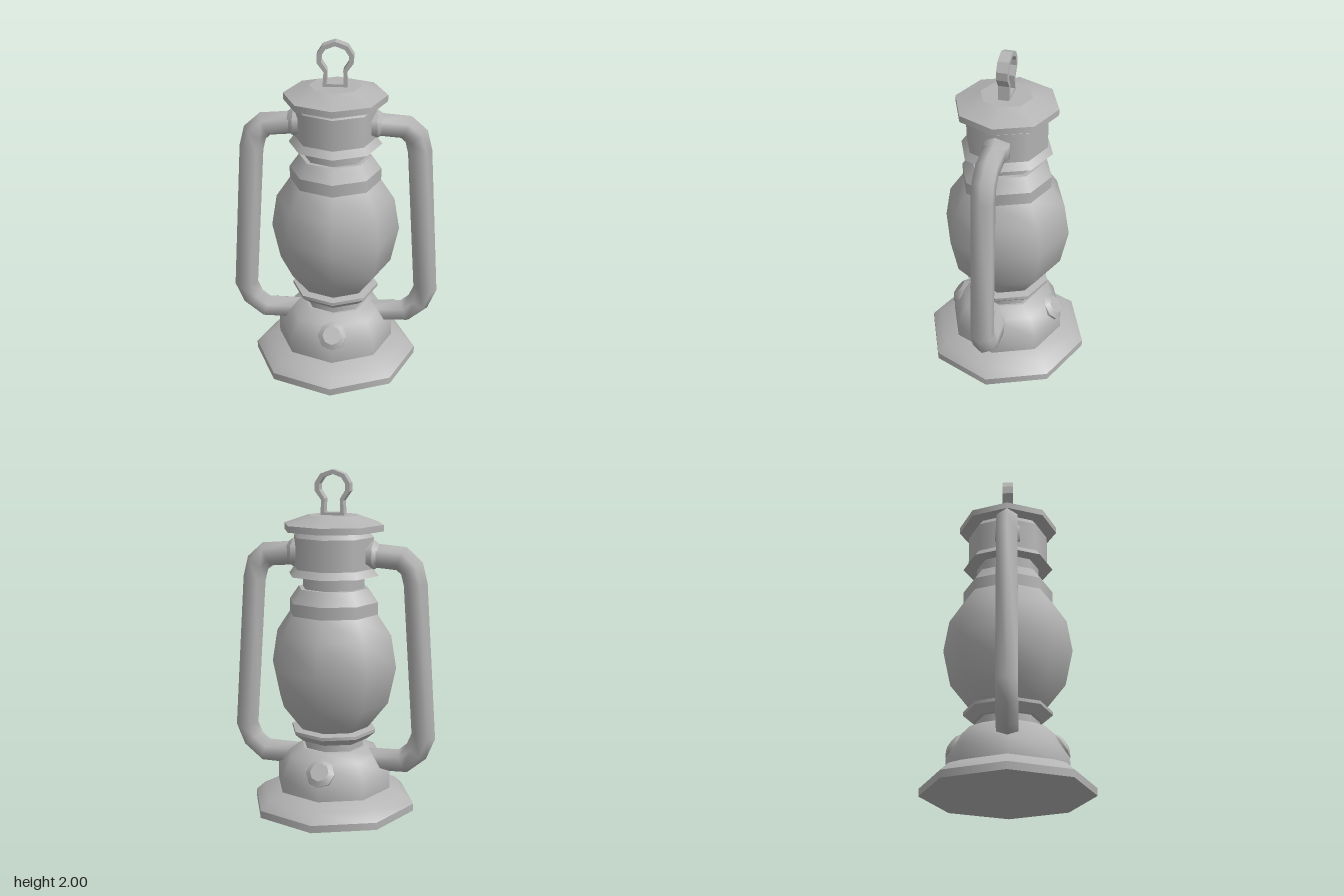
import * as THREE from 'three';

const metal = new THREE.MeshStandardMaterial({ color: 0xb4b4b4 });
metal.name = 'grey metal';

function add(parent, name, geometry) {
  const mesh = new THREE.Mesh(geometry, metal);
  mesh.name = name;
  parent.add(mesh);
  return mesh;
}

// Turned part: each band of [radius, height] points is smooth, with sharp edges between bands
function turned(name, bands, sides = 8) {
  const group = new THREE.Group();
  group.name = name;
  for (const band of bands) {
    add(group, name + 'Band', new THREE.LatheGeometry(band.map(([r, y]) => new THREE.Vector2(r, y)), sides));
  }
  return group;
}

// Six-sided pipe with mitred bends along a path in the xy plane
function pipe(path, radius, sides = 6) {
  const pts = path.map(([x, y]) => new THREE.Vector2(x, y));
  const pos = [], index = [];
  pts.forEach((p, i) => {
    const a = p.clone().sub(pts[Math.max(i - 1, 0)]).normalize();
    const b = pts[Math.min(i + 1, pts.length - 1)].clone().sub(p).normalize();
    const t = a.clone().add(b).normalize();
    const miter = radius / Math.max(t.dot(i ? a : b), 0.5);
    for (let j = 0; j < sides; j++) {
      const ang = (j / sides) * Math.PI * 2;
      const c = Math.cos(ang) * miter;
      pos.push(p.x - t.y * c, p.y + t.x * c, Math.sin(ang) * radius);
      if (i) {
        const k = (j + 1) % sides, lo = (i - 1) * sides, hi = i * sides;
        index.push(lo + j, lo + k, hi + j, lo + k, hi + k, hi + j);
      }
    }
  });
  const g = new THREE.BufferGeometry();
  g.setAttribute('position', new THREE.Float32BufferAttribute(pos, 3));
  g.setIndex(index);
  g.computeVertexNormals();
  return g;
}

export function createModel() {
  const lantern = new THREE.Group();
  lantern.name = 'lantern';

  // Foot and fuel tank
  lantern.add(turned('foot', [
    [[0, 0], [0.49, 0]],
    [[0.49, 0], [0.49, 0.043]],
    [[0.49, 0.043], [0.435, 0.093], [0.34, 0.132]],
  ]));
  lantern.add(turned('fuelTank', [
    [[0.345, 0.13], [0.345, 0.23], [0.285, 0.335], [0.195, 0.378]],
    [[0.195, 0.378], [0.17, 0.378]],
    [[0.18, 0.378], [0.18, 0.425]],
  ]));

  // Globe with its lower and upper collars
  lantern.add(turned('lowerCollar', [
    [[0.17, 0.425], [0.205, 0.425]],
    [[0.205, 0.425], [0.255, 0.468]],
    [[0.255, 0.468], [0.255, 0.487]],
    [[0.255, 0.487], [0.19, 0.5]],
  ]));
  lantern.add(turned('globe', [
    [[0.2, 0.487], [0.22, 0.51], [0.33, 0.65], [0.376, 0.865], [0.345, 1.055], [0.262, 1.18]],
  ]));
  lantern.add(turned('upperCollar', [
    [[0.24, 1.172], [0.265, 1.172]],
    [[0.265, 1.172], [0.265, 1.247]],
    [[0.265, 1.247], [0.21, 1.325]],
    [[0.21, 1.325], [0.17, 1.325]],
    [[0.185, 1.325], [0.185, 1.4]],
  ]));

  // Chimney and its cap
  lantern.add(turned('chimney', [
    [[0.17, 1.4], [0.268, 1.4]],
    [[0.268, 1.4], [0.237, 1.44]],
    [[0.237, 1.44], [0.237, 1.62]],
    [[0.237, 1.62], [0.21, 1.655]],
  ]));
  lantern.add(turned('cap', [
    [[0, 1.655], [0.295, 1.655]],
    [[0.295, 1.655], [0.295, 1.692]],
    [[0.295, 1.692], [0.148, 1.742]],
    [[0.148, 1.742], [0, 1.742]],
  ]));

  // Keyhole-shaped hanging loop
  const mirrored = (half) => [...half, ...half.slice(0, -1).reverse().map(([x, y]) => [-x, y])]
    .map(([x, y]) => new THREE.Vector2(x, y));
  const loop = new THREE.Shape(mirrored(
    [[0.07, 1.738], [0.064, 1.825], [0.102, 1.878], [0.102, 1.925], [0.07, 1.975], [0, 2]]));
  loop.holes.push(new THREE.Path(mirrored(
    [[0.048, 1.758], [0.045, 1.835], [0.077, 1.885], [0.077, 1.918], [0.053, 1.955], [0, 1.975]])));
  add(lantern, 'hangingLoop', new THREE.ExtrudeGeometry(loop, { depth: 0.064, bevelEnabled: false }).translate(0, 0, -0.032));

  // Side pipes with hexagonal nuts where they join the chimney
  const path = [[0.2, 1.52], [0.4, 1.504], [0.46, 1.45], [0.483, 1.358],
    [0.543, 0.465], [0.504, 0.371], [0.424, 0.305], [0.2, 0.3]];
  for (const side of [1, -1]) {
    const arm = new THREE.Group();
    arm.name = side > 0 ? 'leftArm' : 'rightArm';
    add(arm, 'sidePipe', pipe(path, 0.069));
    const nut = turned('nut', [
      [[0.085, 0], [0.085, 0.04]],
      [[0.085, 0.04], [0.06, 0.075]],
    ], 6);
    nut.rotation.set(Math.PI / 2, 0, -Math.PI / 2);
    nut.position.set(0.2, 1.52, 0);
    arm.add(nut);
    if (side < 0) arm.rotation.y = Math.PI;
    lantern.add(arm);
  }

  // Tilted filler knobs at the front and back of the tank
  for (const side of [1, -1]) {
    const knob = turned('fillerKnob', [
      [[0.085, -0.06], [0.085, 0]],
      [[0.085, 0], [0.055, 0.022]],
      [[0.055, 0.022], [0, 0.022]],
    ]);
    knob.position.set(0, 0.287, side * 0.295);
    knob.rotation.x = side * THREE.MathUtils.degToRad(53);
    lantern.add(knob);
  }
  return lantern;
}
